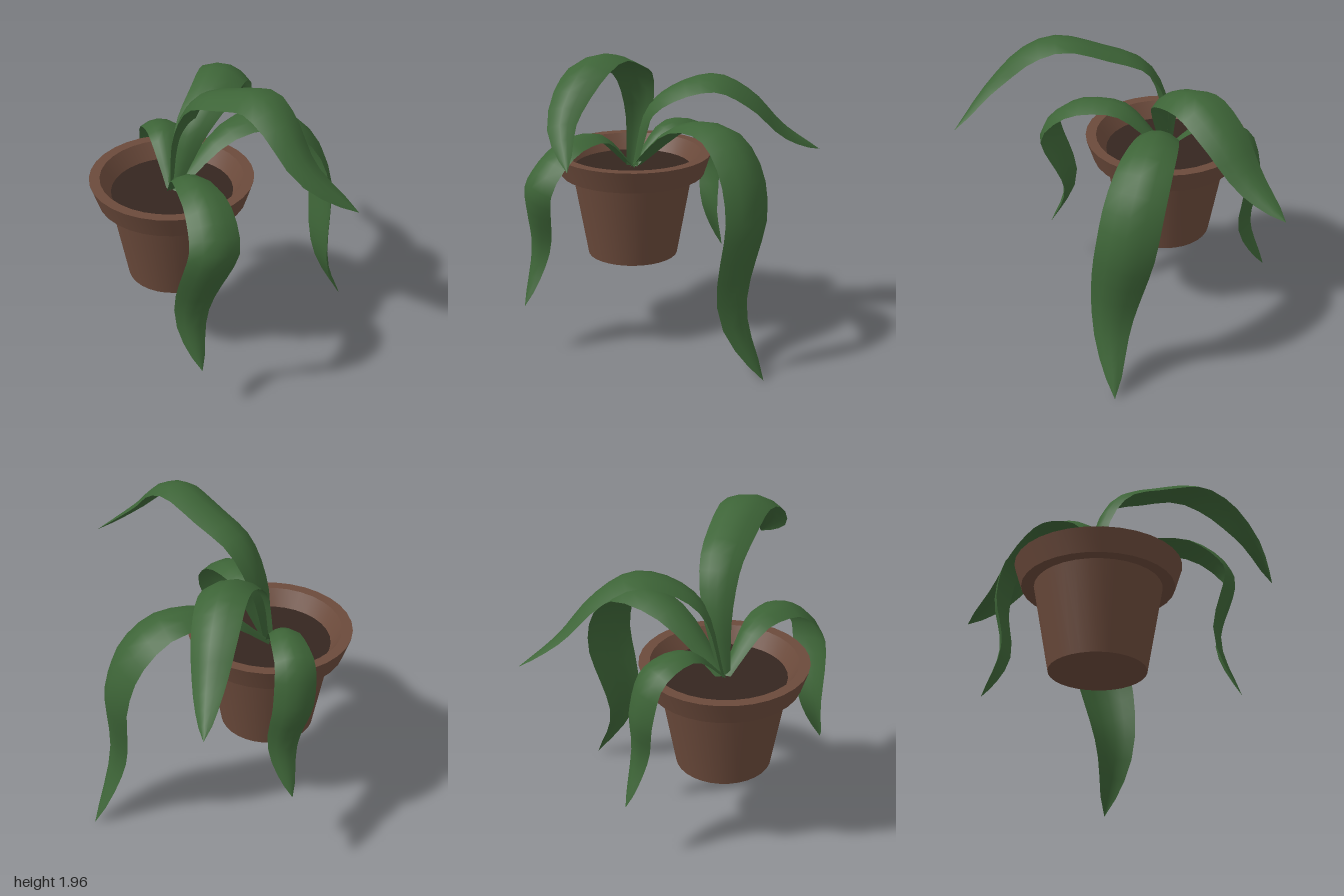
import * as THREE from 'three';
import { toCreasedNormals } from 'three/addons/utils/BufferGeometryUtils.js';

const potX = -0.335, potZ = -0.18, soilY = 1.105;

const clay = new THREE.MeshStandardMaterial({ color: 0x6b4a3b });
const earth = new THREE.MeshStandardMaterial({ color: 0x35261f });
const green = new THREE.MeshStandardMaterial({ color: 0x3d6437, side: THREE.DoubleSide });

// ribbon swept from the soil along a curve, with an arched cross-section;
// it lies across its own heading, and roll tilts it sideways towards the tip
function makeLeaf(name, halfWidth, roll, path) {
  const points = path.map((p) => new THREE.Vector3(...p));
  const root = new THREE.Vector3(potX, soilY, potZ);
  const heading = points[points.length - 1].clone().sub(root).setY(0).normalize();
  const curve = new THREE.CatmullRomCurve3([root, ...points], false, 'centripetal');
  const rows = 20, cols = 4, pos = [], idx = [];
  for (let i = 0; i <= rows; i++) {
    const t = i / rows, c = curve.getPointAt(t), tan = curve.getTangentAt(t);
    const side = new THREE.Vector3(heading.z, roll * t, -heading.x);
    side.addScaledVector(tan, -side.dot(tan)).normalize();
    const up = new THREE.Vector3().crossVectors(tan, side);
    // narrow root, broadest past the middle, pointed tip
    const w = halfWidth * Math.max(0, Math.sin(Math.PI * (0.05 + 0.95 * t ** 1.2))) ** 0.75;
    for (let j = 0; j <= cols; j++) {
      const s = (2 * j) / cols - 1;
      const p = c.clone().addScaledVector(side, s * w).addScaledVector(up, -0.36 * s * s * w);
      pos.push(p.x, p.y, p.z);
      if (i < rows && j < cols) {
        const a = i * (cols + 1) + j, b = a + cols + 1;
        idx.push(a, b, a + 1, a + 1, b, b + 1);
      }
    }
  }
  const geometry = new THREE.BufferGeometry();
  geometry.setAttribute('position', new THREE.Float32BufferAttribute(pos, 3));
  geometry.setIndex(idx);
  geometry.computeVertexNormals();
  const leaf = new THREE.Mesh(geometry, green);
  leaf.name = name;
  return leaf;
}

export function createModel() {
  const model = new THREE.Group();
  model.name = 'pottedPlant';

  // pot: tapered body, overhanging rim and inner wall in one profile
  const profile = [[0, 0.525], [0.29, 0.525], [0.385, 1.065], [0.46, 1.065], [0.505, 1.205],
    [0.44, 1.205], [0.36, 1.08]].map(([r, y]) => new THREE.Vector2(r, y));
  const pot = new THREE.Mesh(toCreasedNormals(new THREE.LatheGeometry(profile, 32), 0.5), clay);
  pot.name = 'pot';
  pot.position.set(potX, 0, potZ);

  // soil disc inside the rim
  const soil = new THREE.Mesh(new THREE.CircleGeometry(0.38, 32), earth);
  soil.name = 'soil';
  soil.rotation.x = -Math.PI / 2;
  soil.position.set(potX, soilY, potZ);
  model.add(pot, soil);

  // leaves, each arching over the rim
  model.add(
    makeLeaf('tallFrontLeaf', 0.145, 0.2, [[-0.28, 1.5, -0.19], [-0.21, 1.77, -0.07],
      [-0.12, 1.89, 0.16], [-0.04, 1.965, 0.42], [0, 1.89, 0.62], [0.06, 1.68, 0.83],
      [0.28, 1.45, 1]]),
    makeLeaf('backLeftLeaf', 0.152, 0.3, [[-0.2, 1.52, -0.18], [-0.02, 1.68, -0.28],
      [0.15, 1.725, -0.44], [0.3, 1.6, -0.62], [0.42, 1.38, -0.79], [0.545, 1.21, -1]]),
    makeLeaf('longLeftLeaf', 0.182, 0, [[0, 1.42, -0.2], [0.22, 1.49, -0.2], [0.43, 1.465, -0.18],
      [0.63, 1.28, -0.14], [0.72, 1, -0.1], [0.68, 0.42, -0.01], [0.84, 0.005, -0.07]]),
    makeLeaf('frontRightLeaf', 0.148, 0, [[-0.35, 1.36, 0.08], [-0.36, 1.39, 0.25],
      [-0.37, 1.35, 0.44], [-0.41, 1.14, 0.63], [-0.52, 0.65, 0.52], [-0.51, 0.33, 0.63]]),
    makeLeaf('backLeaf', 0.125, 0, [[-0.28, 1.35, -0.42], [-0.24, 1.365, -0.56],
      [-0.2, 1.29, -0.72], [-0.16, 1.03, -0.79], [-0.12, 0.73, -0.75], [-0.13, 0.43, -0.855]]),
  );
  return model;
}
